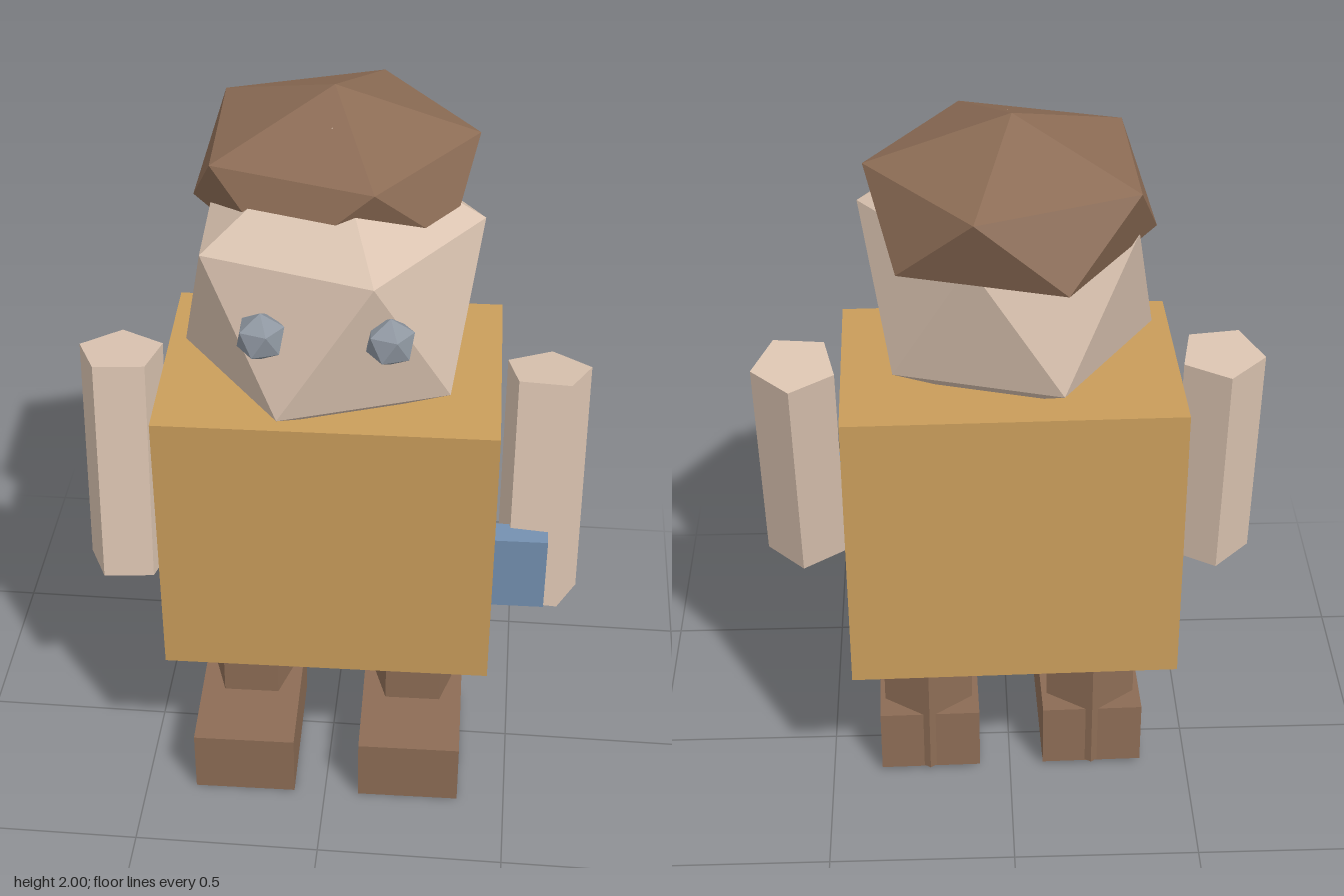
import * as THREE from 'three';

const material = (name, color) => {
  const m = new THREE.MeshStandardMaterial({ color });
  m.name = name;
  return m;
};

// Twenty-sided ball with one corner pointing straight up.
function pointedBall(radius, heightScale = 1) {
  const t = (1 + Math.sqrt(5)) / 2;
  const g = new THREE.IcosahedronGeometry(radius, 0);
  g.rotateZ(-Math.atan(1 / t));
  g.rotateY(0.035);
  g.scale(1, heightScale, 1);
  g.computeVertexNormals(); // faces are unshared, so this stays faceted
  return g;
}

// Faceted five-sided post with one corner towards the back, turned by twist.
function post(radius, height, twist = 0) {
  const g = new THREE.CylinderGeometry(radius, radius, height, 5, 1, false, Math.PI + twist).toNonIndexed();
  g.computeVertexNormals();
  return g;
}

export function createModel() {
  const model = new THREE.Group();
  model.name = 'blockFigure';

  const mustard = material('mustard', 0xc99d5b);
  const skin = material('skin', 0xdac3b0);
  const brown = material('brown', 0x8c6c55);
  const blue = material('blue', 0x7490b0);
  const grey = material('grey', 0x8d959f);

  const add = (name, geometry, mat, position, rotation = [0, 0, 0]) => {
    const mesh = new THREE.Mesh(geometry, mat);
    mesh.name = name;
    mesh.position.set(...position);
    mesh.rotation.set(...rotation);
    model.add(mesh);
  };

  const lean = [0.027, 0.018, 0]; // slight forward tilt and turn of the lower body

  // Torso
  add('torso', new THREE.BoxGeometry(0.862, 0.787, 0.6), mustard, [-0.002, 0.873, -0.004], lean);

  // Legs and feet
  for (const [side, s] of [['left', 1], ['right', -1]]) {
    add(side + 'Leg', post(0.129, 0.58), brown, [s * 0.228, 0.302, -0.016 - s * 0.004], lean);
    add(side + 'Foot', new THREE.BoxGeometry(0.277, 0.188, 0.42), brown, [s * 0.228, 0.1, 0.072 - s * 0.004], lean);
  }

  // Arms, swung forward by different amounts
  add('leftArm', post(0.113, 0.64, -0.09), skin, [0.548, 0.958, 0.048], [-0.162, 0, 0]);
  add('rightArm', post(0.113, 0.64, 0.12), skin, [-0.551, 0.957, 0.039], [-0.087, 0, 0]);

  // Small block held by the left hand
  add('heldBlock', new THREE.BoxGeometry(0.15, 0.22, 0.07), blue, [0.496, 0.764, 0.164], lean);

  // Head, eyes and cap
  add('head', pointedBall(0.414), skin, [0, 1.536, 0.042]);
  add('leftEye', pointedBall(0.063), grey, [0.165, 1.572, 0.368]);
  add('rightEye', pointedBall(0.063), grey, [-0.138, 1.572, 0.372]);
  add('cap', pointedBall(0.394, 0.537), brown, [-0.005, 1.788, -0.087]);

  return model;
}
